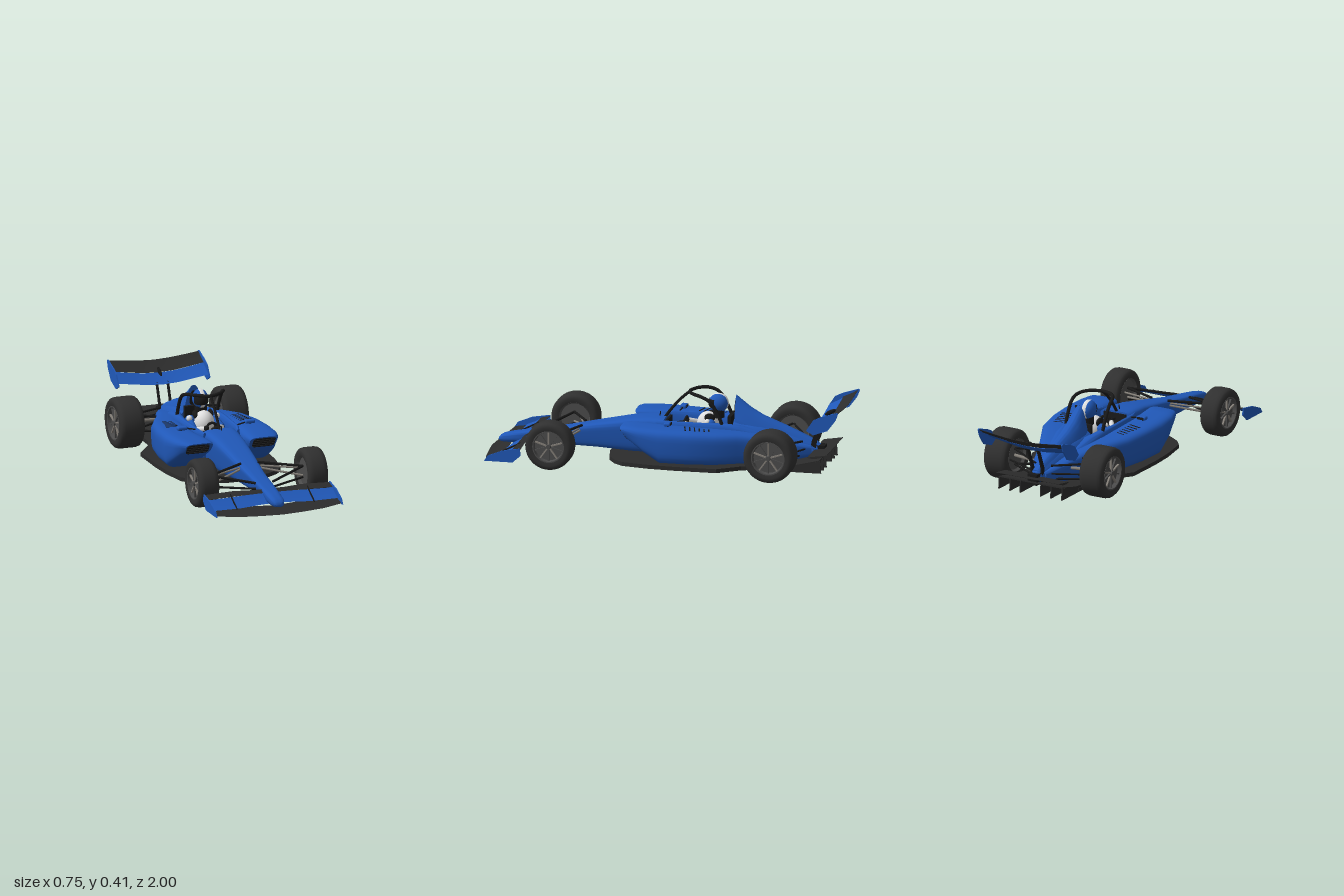
import * as THREE from 'three';
import { toCreasedNormals } from 'three/addons/utils/BufferGeometryUtils.js';
import { RoundedBoxGeometry } from 'three/addons/geometries/RoundedBoxGeometry.js';

const mat = (name, color, side = THREE.FrontSide) => {
  const m = new THREE.MeshStandardMaterial({ color, side });
  m.name = name;
  return m;
};

export function createModel() {
  const car = new THREE.Group();
  car.name = 'raceCar';
  const blue = mat('blue paint', 0x2058b8, THREE.DoubleSide);
  const carbon = mat('carbon', 0x2c2c2c, THREE.DoubleSide);
  const black = mat('black', 0x191919, THREE.DoubleSide);
  const rubber = mat('tyre rubber', 0x303030);
  const rimGrey = mat('rim grey', 0x4c4c4c);
  const metal = mat('metal', 0x858079);
  const white = mat('white', 0xdedede);

  const add = (name, geo, material, parent = car) => {
    const m = new THREE.Mesh(geo, material);
    m.name = name;
    parent.add(m);
    return m;
  };
  const box = (name, w, h, d, x, y, z, m, parent = car) => {
    const b = add(name, new THREE.BoxGeometry(w, h, d), m, parent);
    b.position.set(x, y, z);
    return b;
  };
  const V = (x, y, z) => new THREE.Vector3(x, y, z);
  const rod = (name, a, b, r, m, parent = car) => {
    const A = V(...a), B = V(...b), d = B.clone().sub(A);
    const o = add(name, new THREE.CylinderGeometry(r, r, d.length(), 8), m, parent);
    o.position.copy(A).add(B).multiplyScalar(0.5);
    o.quaternion.setFromUnitVectors(V(0, 1, 0), d.normalize());
    return o;
  };

  // Closed skin through equal-length rings of points, capped, facing outwards
  const loft = (rings, crease = 0.7) => {
    const n = rings[0].length, pos = [], idx = [];
    rings.forEach(r => r.forEach(p => pos.push(...p)));
    for (let i = 0; i < rings.length - 1; i++) for (let j = 0; j < n; j++) {
      const a = i * n + j, b = i * n + (j + 1) % n;
      idx.push(a, b, a + n, b, b + n, a + n);
    }
    const last = (rings.length - 1) * n;
    for (let j = 1; j < n - 1; j++) idx.push(0, j + 1, j, last, last + j, last + j + 1);
    let volume = 0;
    const p = i => V(pos[i * 3], pos[i * 3 + 1], pos[i * 3 + 2]);
    for (let i = 0; i < idx.length; i += 3) volume += p(idx[i]).dot(p(idx[i + 1]).cross(p(idx[i + 2])));
    if (volume < 0) idx.reverse();
    const g = new THREE.BufferGeometry();
    g.setAttribute('position', new THREE.Float32BufferAttribute(pos, 3));
    g.setIndex(idx);
    return toCreasedNormals(g, crease);
  };
  // Rounded-box section at z, with width factors for bottom and top, raked back towards the bottom
  const section = (z, x0, x1, yb, yt, n = 4, bot = 1, top = 1, rake = 0) => {
    const ring = [], pw = v => Math.sign(v) * Math.abs(v) ** (2 / n);
    for (let i = 0; i < 32; i++) {
      const t = (i + 0.5) / 32 * Math.PI * 2, sy = pw(Math.sin(t));
      const k = bot + (top - bot) * (sy + 1) / 2;
      ring.push([(x0 + x1) / 2 + pw(Math.cos(t)) * (x1 - x0) / 2 * k, (yb + yt) / 2 + sy * (yt - yb) / 2, z - rake * (yt - yb) * (1 - sy) / 2]);
    }
    return ring;
  };
  // Cambered blade from half-span stations [x, zFront, yFront, zBack, yBack]
  const blade = (stations, th = 0.008, camber = 0.006) => {
    const all = [...stations.slice(stations[0][0] === 0 ? 1 : 0).reverse().map(([x, ...r]) => [-x, ...r]), ...stations];
    return loft(all.map(([x, zf, yf, zb, yb]) => {
      const at = (t, off) => [x, yf + (yb - yf) * t + off - camber * 4 * t * (1 - t), zf + (zb - zf) * t];
      return [at(0, 0), at(0.25, th / 2), at(0.6, th / 2), at(1, 0.001), at(1, -0.001), at(0.6, -th / 2), at(0.25, -th / 2)];
    }), 0.6);
  };
  // Upright plate in the z-y plane, centred on x
  const plate = (pts, x, th) => {
    const s = new THREE.Shape(pts.map(([z, y]) => new THREE.Vector2(-z, y)));
    return new THREE.ExtrudeGeometry(s, { depth: th, bevelEnabled: false }).rotateY(Math.PI / 2).translate(x - th / 2, 0, 0);
  };

  // Nose and chassis
  add('noseAndChassis', loft([
    [0.958, 0.02, 0.062, 0.078], [0.95, 0.03, 0.057, 0.088], [0.93, 0.038, 0.054, 0.1], [0.87, 0.043, 0.052, 0.115], [0.78, 0.046, 0.058, 0.128],
    [0.6, 0.053, 0.062, 0.158], [0.4, 0.074, 0.06, 0.2], [0.2, 0.092, 0.05, 0.24], [0.1, 0.1, 0.05, 0.25], [0.02, 0.108, 0.05, 0.25],
  ].map(([z, w, b, t], i) => section(z, -w, w, b, t, i < 4 ? 3 : 5, i < 4 ? 0.9 : 0.72, 1))), blue);

  // Engine cover: wide body with a narrow crest and air intake
  add('engineCover', loft([
    [-0.365, 0.09, 0.1, 0.268], [-0.45, 0.09, 0.1, 0.262], [-0.52, 0.082, 0.09, 0.25],
    [-0.65, 0.06, 0.08, 0.215], [-0.78, 0.042, 0.08, 0.172], [-0.84, 0.026, 0.09, 0.145],
  ].map(([z, w, b, t]) => section(z, -w, w, b, t, 3, 1.5, 0.75))), blue);
  add('engineCrest', loft([
    [-0.37, 0.046, 0.2, 0.392], [-0.4, 0.052, 0.2, 0.367], [-0.45, 0.056, 0.19, 0.328], [-0.52, 0.055, 0.17, 0.288],
    [-0.65, 0.046, 0.13, 0.238], [-0.78, 0.036, 0.11, 0.183], [-0.83, 0.03, 0.11, 0.155],
  ].map(([z, w, b, t]) => section(z, -w, w, b, t, 3, 1.5, 0.55))), blue);
  add('airIntake', loft([-0.364, -0.375].map(z => section(z, -0.024, 0.024, 0.28, 0.362, 3, 1.2, 0.7))), black);

  // Cockpit lining, seat back, dash and steering wheel
  box('cockpitLining', 0.2, 0.1, 0.39, 0, 0.14, -0.17, black);
  box('headrest', 0.13, 0.07, 0.02, 0, 0.25, -0.345, black);
  box('dash', 0.14, 0.05, 0.012, 0, 0.215, 0.012, black);
  add('steeringWheel', new THREE.TorusGeometry(0.032, 0.007, 8, 24).rotateX(-0.35).translate(0, 0.222, -0.08), black);
  rod('steeringColumn', [0, 0.222, -0.08], [0, 0.21, 0.01], 0.008, black);
  rod('antenna', [0, 0.245, 0.06], [0, 0.275, 0.055], 0.003, black);

  // Driver
  const driver = new THREE.Group();
  driver.name = 'driver';
  car.add(driver);
  const ball = (name, r, m, ...arc) => add(name, new THREE.SphereGeometry(r, 32, 20, ...arc), m, driver);
  const torso = ball('torso', 1, white);
  torso.scale.set(0.056, 0.068, 0.06);
  torso.position.set(0, 0.222, -0.21);
  const head = new THREE.Group();
  head.name = 'helmet';
  head.position.set(0, 0.343, -0.27);
  head.scale.set(0.043, 0.053, 0.055);
  driver.add(head);
  const stripe = ball('helmetStripe', 1.015, white, 0, Math.PI * 2, Math.PI / 2 - 0.27, 0.54);
  stripe.rotation.z = Math.PI / 2;
  head.add(ball('helmetShell', 1, blue), stripe, ball('visor', 1.04, black, 0.3, Math.PI - 0.6, Math.PI * 0.37, Math.PI * 0.28));
  rod('neck', [0, 0.26, -0.27], [0, 0.31, -0.27], 0.032, black, driver);
  for (const s of [1, -1]) {
    const pad = ball('shoulderSupport', 1, black);
    pad.scale.set(0.012, 0.024, 0.03);
    pad.position.set(s * 0.046, 0.266, -0.23);
    ball('shoulder', 0.028, blue).position.set(s * 0.07, 0.236, -0.24);
    ball('shoulderPatch', 0.017, white).position.set(s * 0.08, 0.25, -0.225);
    rod('upperArm', [s * 0.072, 0.232, -0.235], [s * 0.08, 0.205, -0.15], 0.02, blue, driver);
    rod('forearm', [s * 0.08, 0.205, -0.15], [s * 0.038, 0.224, -0.09], 0.014, white, driver);
    ball('glove', 0.015, black).position.set(s * 0.034, 0.226, -0.085);
  }

  // Halo hoop and its front strut
  const hoop = new THREE.CatmullRomCurve3([
    [-0.117, 0.235, -0.32], [-0.118, 0.3, -0.295], [-0.117, 0.375, -0.245], [-0.108, 0.396, -0.2], [-0.075, 0.402, -0.145], [0, 0.4, -0.11],
    [0.075, 0.402, -0.145], [0.108, 0.396, -0.2], [0.117, 0.375, -0.245], [0.118, 0.3, -0.295], [0.117, 0.235, -0.32],
  ].map(p => V(...p)));
  add('haloHoop', new THREE.TubeGeometry(hoop, 72, 0.0095, 10), black);
  add('haloStrut', new THREE.TubeGeometry(new THREE.QuadraticBezierCurve3(V(0, 0.23, 0.04), V(0, 0.355, -0.045), V(0, 0.4, -0.115)), 16, 0.008, 8), black);

  // Floor and diffuser
  const half = [[0.06, 0.325], [0.18, 0.3], [0.25, 0.255], [0.29, 0.205], [0.317, 0.05], [0.326, -0.1], [0.324, -0.33], [0.28, -0.39], [0.235, -0.45], [0.21, -0.52], [0.205, -0.72]];
  const floorShape = new THREE.Shape([...half, ...half.slice().reverse().map(([x, z]) => [-x, z])].map(p => new THREE.Vector2(...p)));
  add('floor', new THREE.ExtrudeGeometry(floorShape, { depth: 0.022, bevelEnabled: false }).rotateX(Math.PI / 2).translate(0, 0.053, 0), carbon);
  add('diffuser', loft([[-0.6, 0.2, 0.04, 0.053], [-0.75, 0.205, 0.06, 0.072], [-0.88, 0.2, 0.095, 0.103]]
    .map(([z, w, b, t]) => [[-w, b, z], [w, b, z], [w, t, z], [-w, t, z]])), carbon);
  for (const x of [-0.2, -0.13, -0.065, 0.065, 0.13, 0.2])
    add('diffuserStrake', plate([[-0.55, 0.04], [-0.62, 0.03], [-0.89, 0.03], [-0.885, 0.1], [-0.75, 0.066]], x, 0.006), carbon);
  add('beamWing', blade([[0.2, -0.81, 0.115, -0.92, 0.133]], 0.012), carbon);
  box('gearbox', 0.06, 0.06, 0.08, 0, 0.11, -0.83, black);

  // Rear wing
  add('rearWingMain', blade([[0, -0.83, 0.27, -0.913, 0.314], [0.09, -0.83, 0.275, -0.913, 0.318], [0.18, -0.83, 0.288, -0.913, 0.331], [0.263, -0.83, 0.3, -0.913, 0.345]]), blue);
  add('rearWingFlap', blade([[0, -0.908, 0.318, -0.99, 0.366], [0.09, -0.908, 0.322, -0.99, 0.37], [0.18, -0.908, 0.335, -0.99, 0.379], [0.263, -0.908, 0.348, -0.99, 0.389]]), carbon);
  const actuator = add('flapActuator', new THREE.SphereGeometry(1, 16, 10), black);
  actuator.scale.set(0.009, 0.012, 0.035);
  actuator.position.set(0, 0.325, -0.895);
  actuator.rotation.x = 0.5;

  // Front wing
  add('frontWingMain', blade([[0, 1, 0.028, 0.89, 0.05], [0.12, 0.99, 0.029, 0.88, 0.055], [0.25, 0.975, 0.032, 0.882, 0.053], [0.365, 0.952, 0.042, 0.882, 0.054]]), carbon);
  add('frontWingFlap', blade([[0, 0.87, 0.058, 0.8, 0.1], [0.08, 0.875, 0.058, 0.8, 0.1], [0.2, 0.89, 0.054, 0.805, 0.096], [0.365, 0.89, 0.055, 0.81, 0.093]]), blue);
  add('frontWingUpperFlap', blade([[0, 0.81, 0.103, 0.785, 0.117], [0.09, 0.81, 0.102, 0.785, 0.117], [0.2, 0.81, 0.1, 0.762, 0.116], [0.365, 0.812, 0.096, 0.757, 0.109]], 0.006, 0.002), carbon);

  // One wheel, its axle along x and its outer face towards +x
  const wheel = (name, s, z, R, w, outer) => {
    const g = new THREE.Group();
    g.name = name;
    g.position.set(s * (outer - w / 2), R, z);
    if (s < 0) g.rotation.y = Math.PI;
    car.add(g);
    const h = w / 2, r = R * 0.65;
    const lathe = (n, pts, m) => add(n, toCreasedNormals(new THREE.LatheGeometry(pts.map(p => new THREE.Vector2(...p)), 48), 0.6).rotateZ(-Math.PI / 2), m, g);
    lathe('tyre', [[r, -h + 0.006], [R * 0.8, -h], [R * 0.91, -h + 0.004], [R * 0.97, -h + 0.013], [R, -h + 0.03],
      [R, h - 0.03], [R * 0.97, h - 0.013], [R * 0.91, h - 0.004], [R * 0.8, h], [r, h - 0.006]], rubber);
    lathe('rim', [[0, -h + 0.02], [r * 0.9, -h + 0.02], [r, -h + 0.005], [r * 1.02, 0], [r * 1.02, h - 0.004], [r * 0.95, h - 0.004], [r * 0.9, h - 0.026], [0, h - 0.026]], rimGrey);
    for (let i = 0; i < 10; i++) {
      const a = i * Math.PI / 5;
      const spoke = box('spoke', 0.01, r * 0.8, 0.008, h - 0.018, Math.cos(a) * r * 0.52, Math.sin(a) * r * 0.52, i % 2 ? rimGrey : metal, g);
      spoke.rotation.x = a;
    }
    const hub = add('hub', new THREE.CylinderGeometry(0.012, 0.018, 0.02, 20).rotateZ(-Math.PI / 2), rimGrey, g);
    hub.position.x = h - 0.015;
  };

  for (const s of [1, -1]) {
    const side = s > 0 ? 'left' : 'right';
    wheel(side + 'FrontWheel', s, 0.6, 0.134, 0.117, 0.376);
    wheel(side + 'RearWheel', s, -0.63, 0.142, 0.145, 0.376);

    // Sidepod with raked, grilled inlet
    const m = (z, a, b, ...r) => section(z, s * a, s * b, ...r);
    add(side + 'Sidepod', loft([
      [0.228, 0.105, 0.268, 0.165, 0.239, 0.7], [0.205, 0.098, 0.285, 0.148, 0.246, 0.6], [0.13, 0.1, 0.306, 0.105, 0.247, 0.3], [0, 0.11, 0.317, 0.052, 0.244, 0],
      [-0.15, 0.11, 0.308, 0.05, 0.24, 0], [-0.3, 0.1, 0.28, 0.05, 0.232, 0], [-0.42, 0.05, 0.22, 0.05, 0.222, 0], [-0.55, 0.02, 0.155, 0.05, 0.2, 0],
      [-0.7, 0, 0.1, 0.06, 0.165, 0], [-0.8, 0, 0.05, 0.08, 0.14, 0],
    ].map(([z, a, b, c, d, k]) => m(z, a, b, c, d, 4, 0.88, 1, k))), blue);
    add(side + 'Inlet', loft([m(0.226, 0.128, 0.258, 0.173, 0.232, 6, 1, 1, 0.7), m(0.2, 0.128, 0.258, 0.173, 0.232, 6, 1, 1, 0.7)]), black);
    for (let i = 0; i < 4; i++) box('inletVane', 0.122, 0.004, 0.006, s * 0.193, 0.182 + i * 0.013, 0.19 + i * 0.0091, carbon);
    add(side + 'CockpitRim', loft([[0.06, 0.088, 0.108, 0.247], [0, 0.098, 0.128, 0.253], [-0.2, 0.1, 0.138, 0.254], [-0.33, 0.08, 0.14, 0.255], [-0.42, 0.05, 0.13, 0.243], [-0.55, 0.02, 0.1, 0.2]]
      .map(([z, a, b, t]) => m(z, a, b, 0.1, t, 3))), blue);

    // Sidepod louvres
    for (let i = 0; i < 6; i++) {
      const slit = box('louvre', 0.075 - i * 0.004, 0.008, 0.007, s * (0.212 - i * 0.003), 0.2385 - i * 0.0016, -0.13 - i * 0.026, black);
      slit.rotation.y = s * 0.25;
    }

    // Mirror
    const mirror = add(side + 'Mirror', new RoundedBoxGeometry(0.058, 0.021, 0.036, 4, 0.009), blue);
    mirror.position.set(s * 0.197, 0.259, -0.03);
    box('mirrorGlass', 0.042, 0.013, 0.004, s * 0.197, 0.259, -0.047, black);
    rod('mirrorArm', [s * 0.11, 0.245, -0.02], [s * 0.18, 0.258, -0.03], 0.004, black);
    rod('mirrorStay', [s * 0.2, 0.235, -0.03], [s * 0.2, 0.255, -0.03], 0.004, black);

    // Wing end plates, dividers and rear pylons
    add('frontEndPlate', plate([[0.96, 0.036], [0.94, 0.065], [0.86, 0.098], [0.76, 0.115], [0.755, 0.075], [0.8, 0.035]], s * 0.367, 0.007), blue);
    add('frontWingDivider', plate([[0.9, 0.05], [0.885, 0.064], [0.79, 0.112], [0.79, 0.102], [0.87, 0.055]], s * 0.225, 0.005), black);
    add('rearEndPlate', plate([[-0.82, 0.285], [-0.86, 0.345], [-0.9, 0.365], [-0.99, 0.394], [-1, 0.39], [-0.985, 0.35], [-0.94, 0.29], [-0.86, 0.262]], s * 0.265, 0.007), blue);
    add('rearWingPylon', plate([[-0.79, 0.12], [-0.8, 0.17], [-0.845, 0.28], [-0.872, 0.29], [-0.83, 0.18], [-0.82, 0.12]], s * 0.032, 0.008), black);

    // Suspension
    for (const [z, y] of [[0.485, 0.182], [0.72, 0.135]]) rod('frontUpperArm', [s * 0.27, 0.168, 0.6], [s * 0.05, y, z], 0.007, black);
    rod('frontLowerArm', [s * 0.27, 0.105, 0.6], [s * 0.045, 0.1, 0.71], 0.006, black);
    rod('frontLowerStay', [s * 0.27, 0.115, 0.6], [s * 0.045, 0.155, 0.49], 0.006, metal);
    rod('frontTrackRod', [s * 0.27, 0.15, 0.57], [s * 0.06, 0.165, 0.5], 0.005, metal);
    for (const z of [-0.52, -0.75]) {
      rod('rearUpperArm', [s * 0.26, 0.18, -0.63], [s * 0.05, 0.165, z], 0.006, black);
      rod('rearLowerArm', [s * 0.26, 0.09, -0.63], [s * 0.05, 0.09, z], 0.006, black);
    }
    rod('rearDriveShaft', [s * 0.28, 0.142, -0.63], [s * 0.03, 0.13, -0.65], 0.009, metal);
    rod('rearTrackRod', [s * 0.26, 0.13, -0.68], [s * 0.03, 0.125, -0.78], 0.005, black);
  }
  return car;
}
